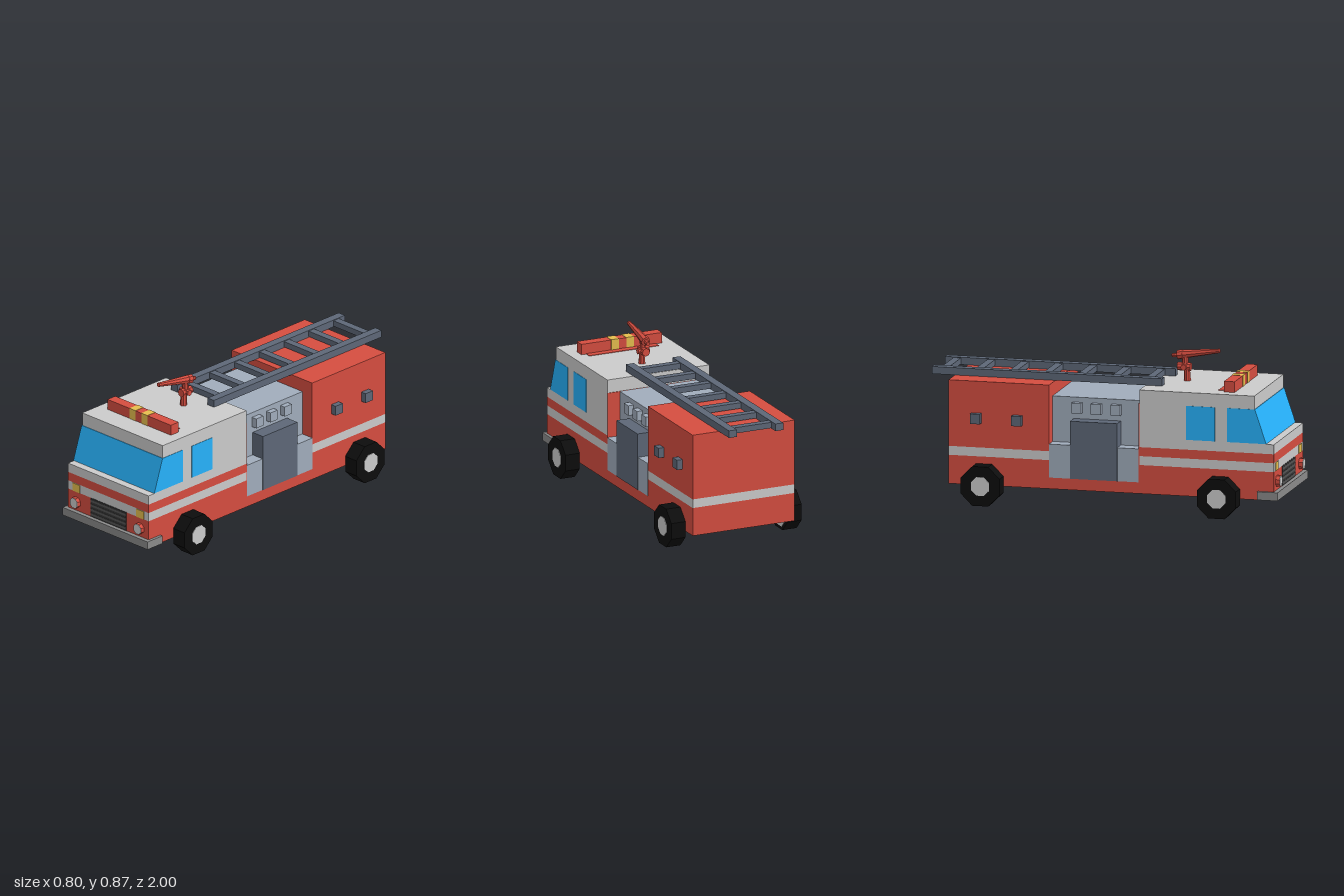
import * as THREE from 'three';

const COLORS = {
  grey: 0xcccccc, red: 0xd54d40, blue: 0x27b2fb, panel: 0xa0acbb, steel: 0x5d6777,
  yellow: 0xe6be4e, black: 0x0d0d0d, bumper: 0x8a8a8a, grille: 0x373737, slat: 0x555555,
};
const materials = {};
for (const key in COLORS) {
  materials[key] = new THREE.MeshStandardMaterial({ color: COLORS[key], flatShading: true });
}

export function createModel() {
  const model = new THREE.Group();
  model.name = 'fireEngine';

  const add = (name, color, geometry, parent = model) => {
    const mesh = new THREE.Mesh(geometry, materials[color]);
    mesh.name = name;
    parent.add(mesh);
    return mesh;
  };
  // Box from its limits on each axis
  const box = (name, color, [x0, x1], [y0, y1], [z0, z1]) => {
    const mesh = add(name, color, new THREE.BoxGeometry(x1 - x0, y1 - y0, z1 - z0));
    mesh.position.set((x0 + x1) / 2, (y0 + y1) / 2, (z0 + z1) / 2);
    return mesh;
  };
  // Side profile of [z, y] points, extruded across the width
  const profile = (name, color, points, halfWidth) => {
    const shape = new THREE.Shape(points.map(([z, y]) => new THREE.Vector2(z, y)));
    const geometry = new THREE.ExtrudeGeometry(shape, { depth: halfWidth * 2, bevelEnabled: false });
    geometry.rotateY(-Math.PI / 2).translate(halfWidth, 0, 0);
    return add(name, color, geometry);
  };
  // Tapered round bar between two points
  const rod = (name, color, from, to, r0, r1, sides = 8) => {
    const a = new THREE.Vector3(...from), b = new THREE.Vector3(...to);
    const mesh = add(name, color, new THREE.CylinderGeometry(r1, r0, a.distanceTo(b), sides));
    mesh.position.copy(a).lerp(b, 0.5);
    mesh.quaternion.setFromUnitVectors(new THREE.Vector3(0, 1, 0), b.sub(a).normalize());
    return mesh;
  };

  const W = 0.31;
  const full = [-W, W];

  // Lower body and stripes
  box('chassis', 'red', full, [0.1, 0.26], [-0.87, 0.975]);
  box('cabLowerStripe', 'grey', full, [0.26, 0.31], [0.212, 0.975]);
  box('cabRedStripe', 'red', full, [0.31, 0.36], [0.212, 0.975]);

  // Cab shell, glass wrapping the front corners, and rear wall
  profile('cab', 'grey', [[0.212, 0.36], [0.975, 0.36], [0.975, 0.413], [0.93, 0.413],
    [0.865, 0.605], [0.865, 0.68], [0.212, 0.68]], W);
  profile('windshield', 'blue', [[0.71, 0.415], [0.932, 0.415], [0.868, 0.605], [0.71, 0.605]], W + 0.002);
  box('sideWindows', 'blue', [-W - 0.002, W + 0.002], [0.415, 0.605], [0.477, 0.64]);
  box('cabRearWall', 'red', full, [0.26, 0.605], [0.208, 0.212]);

  // Rear body
  box('rearBodyStripe', 'grey', full, [0.26, 0.31], [-0.87, -0.3]);
  box('rearBody', 'red', full, [0.31, 0.68], [-0.87, -0.3]);

  // Pump bay: recessed core, lower shelf, cabinet and gauges
  box('pumpCore', 'panel', [-0.235, 0.235], [0.26, 0.605], [-0.3, 0.208]);
  box('pumpShelf', 'panel', [-W - 0.002, W + 0.002], [0.163, 0.35], [-0.3, 0.208]);
  box('pumpCabinet', 'steel', [-W - 0.005, W + 0.005], [0.163, 0.485], [-0.18, 0.088]);

  for (const side of [-1, 1]) {
    const out = (a, b) => (side > 0 ? [a, b] : [-b, -a]);
    for (const z of [0.064, -0.047, -0.157]) {
      box('gauge', 'panel', out(0.225, 0.267), [0.52, 0.577], [z - 0.028, z + 0.028]);
    }
    for (const z of [-0.478, -0.712]) {
      box('bodyHandle', 'steel', out(0.3, 0.343), [0.446, 0.502], [z - 0.028, z + 0.028]);
    }

    // Eight-sided wheels with a hub outside and a pale inner face
    for (const z of [0.672, -0.668]) {
      const wheel = new THREE.Group();
      wheel.name = 'wheel';
      wheel.position.set(side * 0.353, 0.11, z);
      wheel.rotation.z = -side * Math.PI / 2;
      model.add(wheel);
      const disc = (name, color, radius, height, y) =>
        add(name, color, new THREE.CylinderGeometry(radius, radius, height, 8)
          .rotateY(Math.PI / 8).translate(0, y, 0), wheel);
      disc('tyre', 'black', 0.119, 0.086, 0);
      disc('hub', 'grey', 0.056, 0.01, 0.041);
      disc('innerRim', 'grey', 0.1, 0.004, -0.043);
    }

    // Headlights and indicators
    const housing = add('headlightHousing', 'red',
      new THREE.CylinderGeometry(0.032, 0.032, 0.03, 8).rotateY(Math.PI / 8).rotateX(Math.PI / 2));
    housing.position.set(side * 0.245, 0.199, 0.982);
    const lens = add('headlightLens', 'grey',
      new THREE.CylinderGeometry(0.031, 0.031, 0.004, 8).rotateY(Math.PI / 8).rotateX(Math.PI / 2));
    lens.position.set(side * 0.245, 0.199, 0.997);
    box('indicator', 'yellow', out(0.218, 0.275), [0.26, 0.307], [0.965, 0.978]);
  }

  // Bumper and grille
  box('bumper', 'bumper', [-0.327, 0.327], [0.103, 0.149], [0.885, 1]);
  box('grille', 'grille', [-0.135, 0.139], [0.149, 0.26], [0.965, 0.977]);
  for (let i = 0; i < 4; i++) {
    const y = 0.164 + i * 0.027;
    box('grilleSlat', 'slat', [-0.135, 0.139], [y - 0.007, y + 0.007], [0.965, 0.979]);
  }

  // Roof light bar
  box('lightBar', 'red', [-0.244, 0.245], [0.68, 0.74], [0.675, 0.735]);
  box('lightBarBase', 'red', [-0.207, 0.217], [0.675, 0.683], [0.635, 0.675]);
  for (const x of [-0.05, 0.042]) {
    box('lightBarLamp', 'yellow', [x - 0.023, x + 0.023], [0.68, 0.742], [0.673, 0.737]);
  }

  // Ladder
  for (const x of [-0.154, 0.128]) {
    box('ladderRail', 'steel', [x - 0.024, x + 0.024], [0.68, 0.721], [-1, 0.306]);
  }
  for (let i = 0; i < 7; i++) {
    const z = 0.226 - i * 0.193;
    box('ladderRung', 'steel', [-0.132, 0.106], [0.684, 0.717], [z - 0.021, z + 0.021]);
  }

  // Water cannon
  rod('cannonPost', 'red', [0.01, 0.675, 0.4], [0.01, 0.76, 0.397], 0.02, 0.016);
  rod('cannonJoint', 'red', [0.01, 0.757, 0.345], [0.01, 0.757, 0.42], 0.023, 0.023);
  rod('cannonPivot', 'red', [-0.024, 0.757, 0.385], [0.044, 0.757, 0.385], 0.017, 0.017);
  rod('cannonNeck', 'red', [0.01, 0.76, 0.385], [0.01, 0.825, 0.39], 0.018, 0.018);
  rod('cannonGrip', 'red', [0.013, 0.815, 0.313], [0.011, 0.822, 0.36], 0.011, 0.015);
  rod('cannonCollar', 'red', [0.012, 0.82, 0.345], [0.011, 0.826, 0.375], 0.026, 0.026);
  rod('cannonBarrel', 'red', [0.011, 0.824, 0.365], [0, 0.857, 0.586], 0.025, 0.012);

  return model;
}
